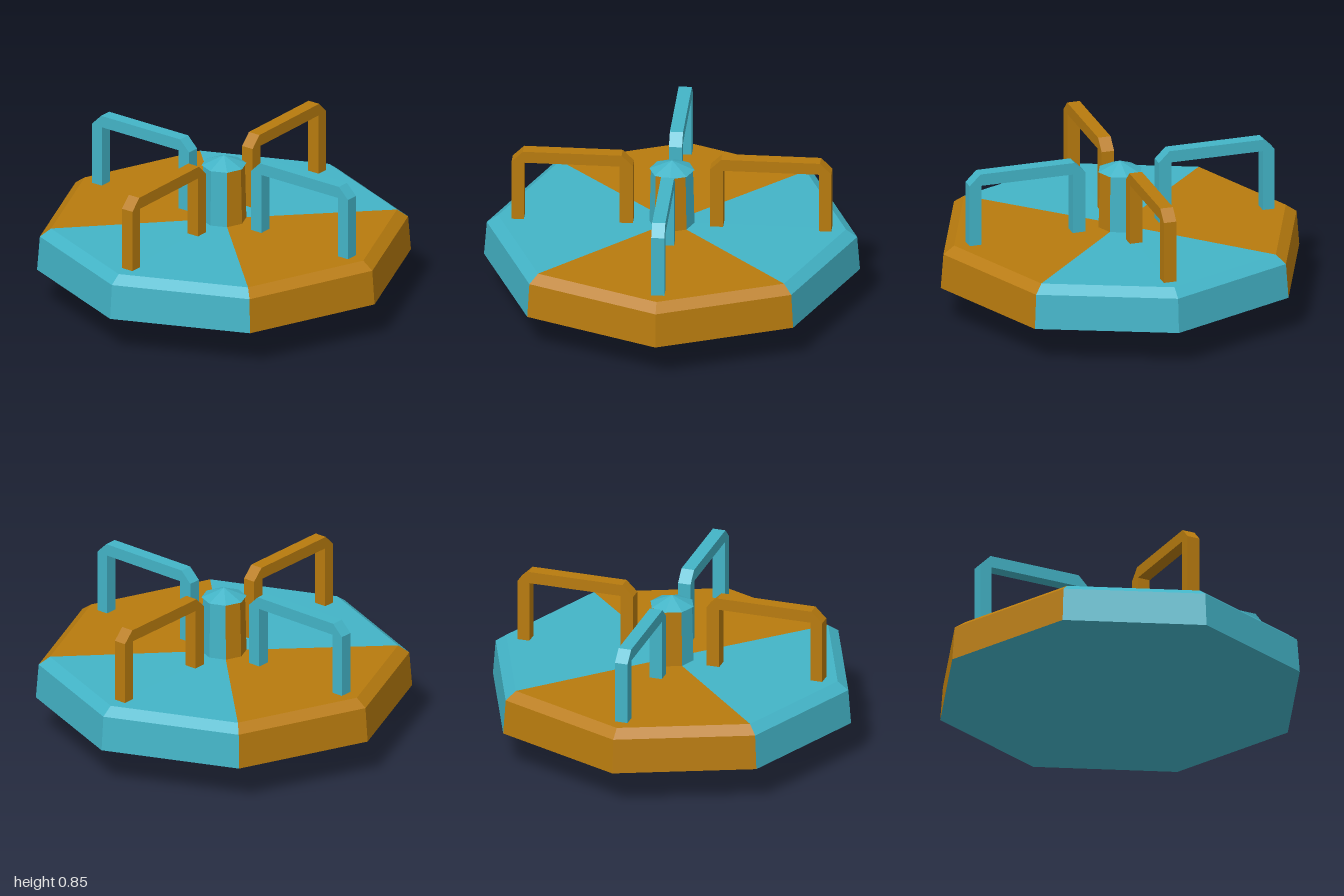
import * as THREE from 'three';

const teal = new THREE.MeshStandardMaterial({ color: 0x43b4c7 });
teal.name = 'teal';
const orange = new THREE.MeshStandardMaterial({ color: 0xb87b0e });
orange.name = 'orange';

// Faceted mesh: every face gets its own flat normal
function facet(geometry, material, name) {
  const flat = geometry.index ? geometry.toNonIndexed() : geometry;
  flat.computeVertexNormals();
  const mesh = new THREE.Mesh(flat, material);
  mesh.name = name;
  return mesh;
}

// Part of an octagonal turned shape; profile runs bottom to top as [radius, y]
function turned(profile, segments, start) {
  const points = profile.map(([r, y]) => new THREE.Vector2(r, y));
  return new THREE.LatheGeometry(points, segments, start, segments * Math.PI / 4);
}

// Grab rail: chamfered arch standing between radius 0.205 and 0.85
function railGeometry() {
  const shape = new THREE.Shape([
    [0.205, 0.43], [0.275, 0.43], [0.275, 0.78], [0.785, 0.78], [0.785, 0.43],
    [0.85, 0.43], [0.85, 0.785], [0.79, 0.845], [0.265, 0.845], [0.205, 0.785],
  ].map(([x, y]) => new THREE.Vector2(x, y)));
  const geometry = new THREE.ExtrudeGeometry(shape, { depth: 0.07, bevelEnabled: false });
  return geometry.translate(0, 0, -0.035);
}

export function createModel() {
  const model = new THREE.Group();
  model.name = 'merryGoRound';

  // Conical underside
  model.add(facet(turned([[0, 0], [1, 0.21]], 8, 0), teal, 'underside'));

  // Quarters of the platform and centre post, alternating in colour
  for (let i = 0; i < 4; i++) {
    const start = -Math.PI / 4 + i * Math.PI / 2;
    const sectorColour = i % 2 ? teal : orange;
    const deck = turned([[1, 0.21], [0.985, 0.4], [0.925, 0.443], [0, 0.447]], 2, start);
    model.add(facet(deck, sectorColour, 'platformQuarter' + i));
    const post = turned([[0.12, 0.44], [0.112, 0.76]], 2, start);
    model.add(facet(post, sectorColour, 'postQuarter' + i));

    // Rail over each quarter, in the opposite colour
    const rail = facet(railGeometry(), i % 2 ? orange : teal, 'grabRail' + i);
    rail.rotation.y = (i - 1) * Math.PI / 2;
    model.add(rail);
  }

  // Pointed cap on the post
  model.add(facet(turned([[0.112, 0.76], [0.12, 0.76], [0, 0.812]], 8, 0), teal, 'postCap'));

  return model;
}
